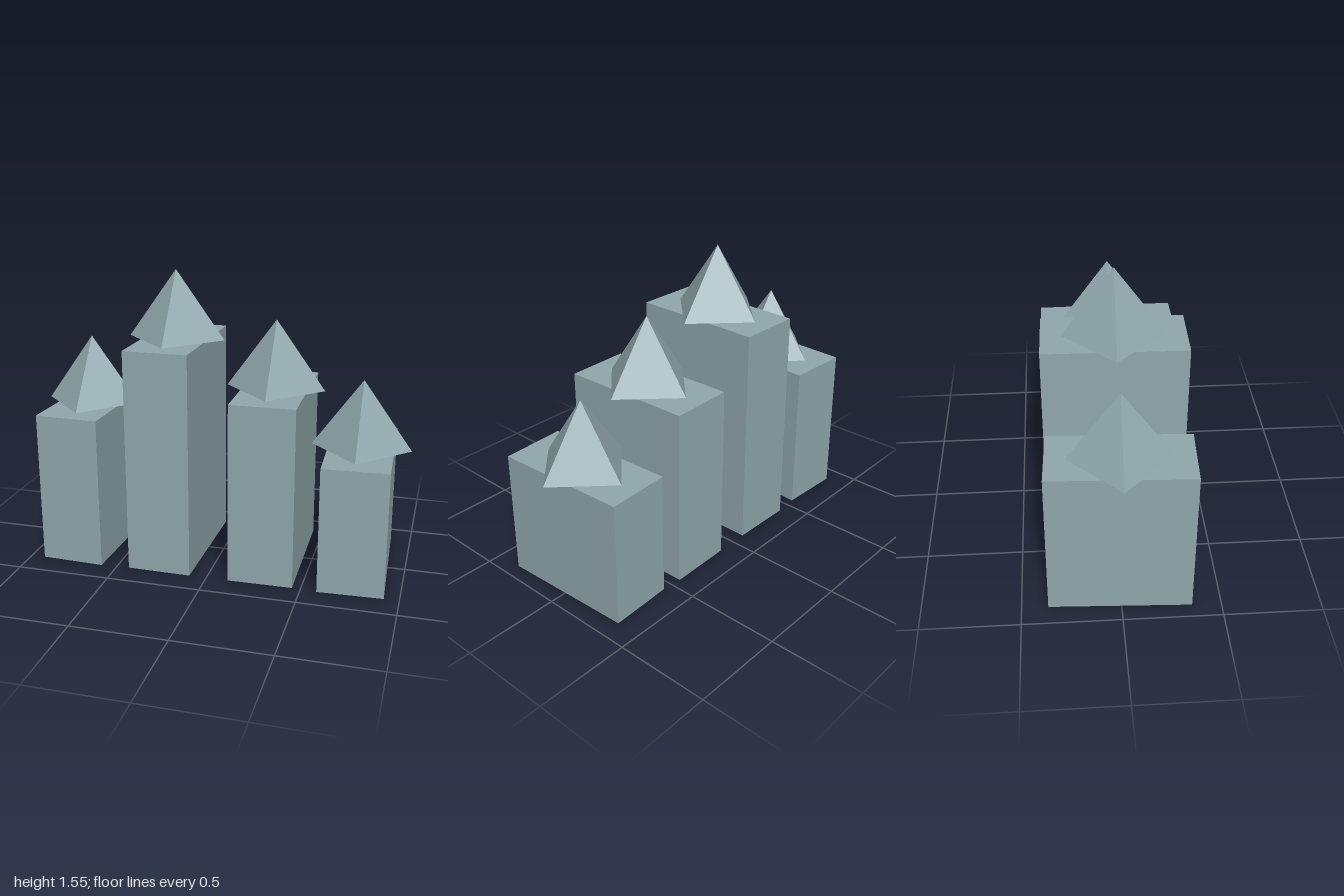
import * as THREE from 'three';

// Row of four slightly turned blocks, each carrying a four-sided spire.
export function createModel() {
  const group = new THREE.Group();
  group.name = 'spiredBlocks';
  const stone = new THREE.MeshStandardMaterial({ color: 0x90a8ad, flatShading: true });
  stone.name = 'greyBlueStone';

  const width = 0.34, depth = 0.72, spireRadius = 0.26, spireHeight = 0.362;
  const towers = [
    { x: -0.74, height: 0.814, turn: -0.042 },
    { x: -0.257, height: 1.193, turn: -0.015 },
    { x: 0.28, height: 0.957, turn: 0.016 },
    { x: 0.738, height: 0.669, turn: 0.042 },
  ];

  towers.forEach(({ x, height, turn }, i) => {
    const tower = new THREE.Group();
    tower.name = `tower${i + 1}`;
    tower.position.x = x;

    // Tall block standing on the ground
    const block = new THREE.Mesh(new THREE.BoxGeometry(width, height, depth), stone);
    block.name = 'block';
    block.position.y = height / 2;
    block.rotation.y = turn;

    // Pyramid with its corners on the x and z axes
    const spire = new THREE.Mesh(new THREE.ConeGeometry(spireRadius, spireHeight, 4), stone);
    spire.name = 'spire';
    spire.position.y = height + spireHeight / 2;

    tower.add(block, spire);
    group.add(tower);
  });
  return group;
}
